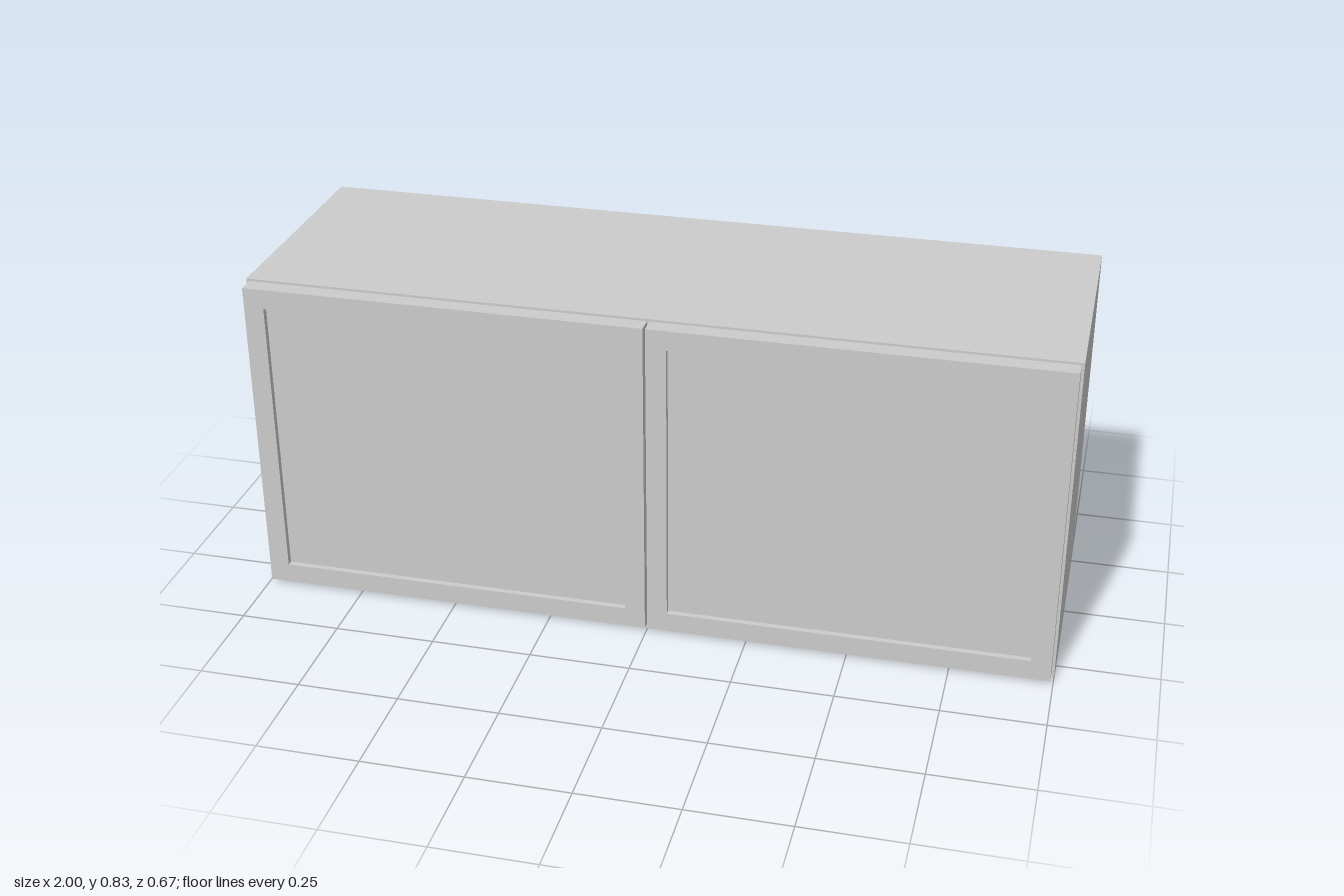
import * as THREE from 'three';

const W = 2, H = 0.833, T = 0.04;     // carcass width, height, board thickness
const BACK = -0.333, FRONT = 0.29;    // carcass depth range
const DOOR_FRONT = 0.333;

export function createModel() {
  const group = new THREE.Group();
  const material = new THREE.MeshStandardMaterial({ color: 0xcccccc });

  // Box given by its minimum and maximum corners
  const board = (name, x0, x1, y0, y1, z0, z1, parent = group) => {
    const mesh = new THREE.Mesh(new THREE.BoxGeometry(x1 - x0, y1 - y0, z1 - z0), material);
    mesh.position.set((x0 + x1) / 2, (y0 + y1) / 2, (z0 + z1) / 2);
    mesh.name = name;
    parent.add(mesh);
  };

  // Carcass
  const inner = W / 2 - T;
  board('leftSide', inner, W / 2, 0, H, BACK, FRONT);
  board('rightSide', -W / 2, -inner, 0, H, BACK, FRONT);
  board('topBoard', -inner, inner, H - T, H, BACK, FRONT);
  board('bottomBoard', -inner, inner, 0, T, BACK, FRONT);
  board('backBoard', -inner, inner, T, H - T, BACK, BACK + T / 2);

  // Rectangle outline for shapes and holes
  const rect = (Type, x0, x1, y0, y1) => new Type([
    new THREE.Vector2(x0, y0), new THREE.Vector2(x1, y0),
    new THREE.Vector2(x1, y1), new THREE.Vector2(x0, y1),
  ]);

  // Pair of doors: a frame around a recessed panel
  for (const [name, left] of [['leftDoor', 0.003], ['rightDoor', -0.993]]) {
    const door = new THREE.Group();
    door.name = name;
    const right = left + 0.99, y0 = 0.009, y1 = 0.827, rail = 0.05;
    const opening = [left + rail, right - rail, y0 + rail, y1 - rail];

    const shape = rect(THREE.Shape, left, right, y0, y1);
    shape.holes.push(rect(THREE.Path, ...opening));
    const frame = new THREE.Mesh(
      new THREE.ExtrudeGeometry(shape, { depth: DOOR_FRONT - FRONT, bevelEnabled: false }), material);
    frame.position.z = FRONT;
    frame.name = 'doorFrame';
    door.add(frame);

    board('doorPanel', ...opening, FRONT + 0.01, DOOR_FRONT - 0.015, door);
    group.add(door);
  }
  return group;
}
